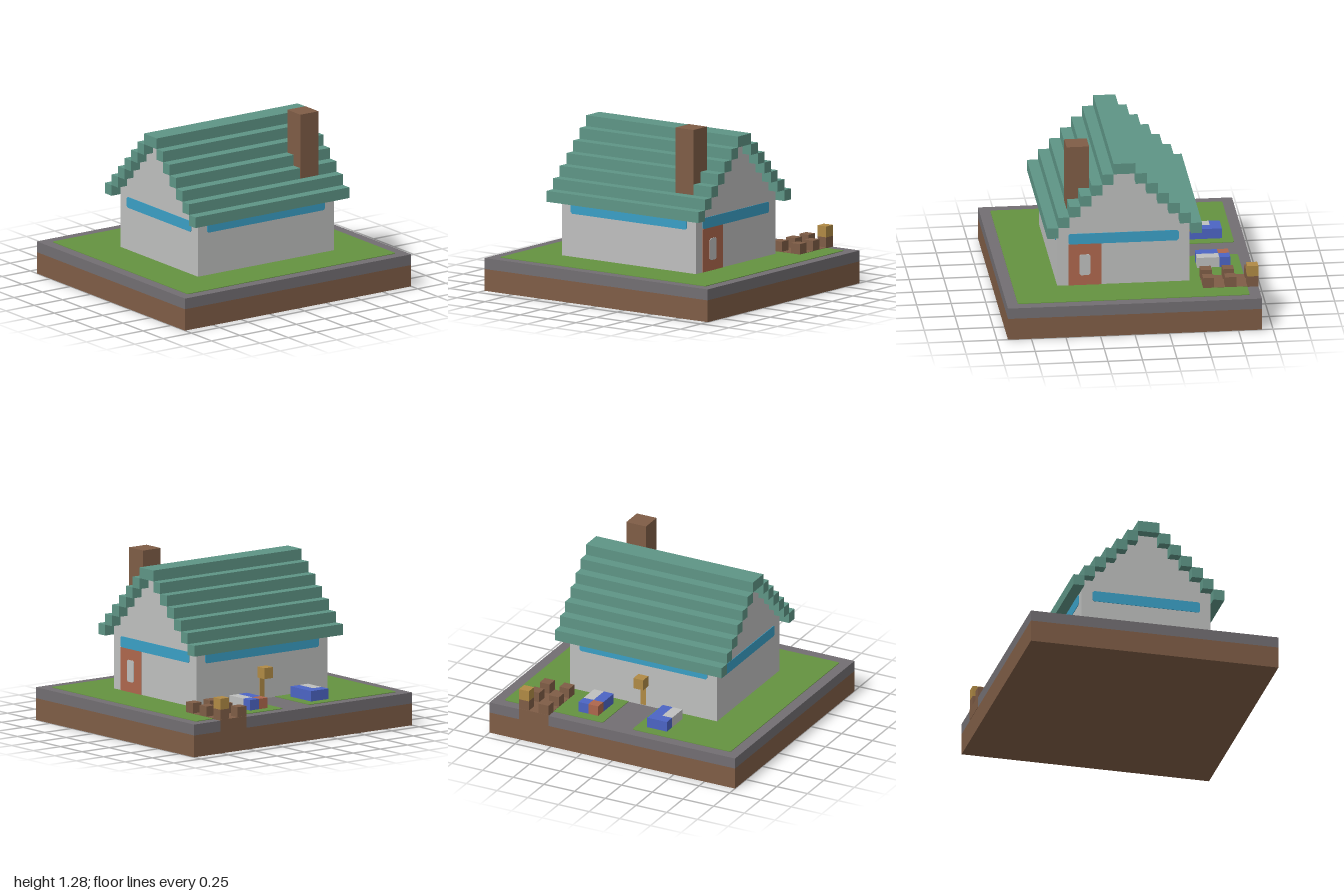
import * as THREE from 'three';

const U = 0.08; // block size
const T = 0.004; // thickness of painted plates

export function createModel() {
  const model = new THREE.Group();
  const material = (name, color) => {
    const m = new THREE.MeshStandardMaterial({ color });
    m.name = name;
    return m;
  };
  const stone = material('stone', 0x726e72);
  const dirt = material('dirt', 0x7f5d46);
  const grass = material('grass', 0x649240);
  const plaster = material('plaster', 0xbebfbe);
  const tile = material('roof tile', 0x5e9586);
  const blue = material('sky blue', 0x3a9fc5);
  const red = material('brick red', 0xae674d);
  const cloth = material('royal blue', 0x4c64c4);
  const ochre = material('ochre', 0xb08a45);

  const add = (name, geometry, mat, parent = model) => {
    const mesh = new THREE.Mesh(geometry, mat);
    mesh.name = name;
    parent.add(mesh);
    return mesh;
  };
  // Box given by its minimum and maximum corners
  const block = (name, mat, x0, x1, y0, y1, z0, z1, parent) => {
    const g = new THREE.BoxGeometry(x1 - x0, y1 - y0, z1 - z0);
    g.translate((x0 + x1) / 2, (y0 + y1) / 2, (z0 + z1) / 2);
    return add(name, g, mat, parent);
  };
  // Thin upright plate with clipped corners, facing +z before turning
  const panel = (name, mat, w, h, x, y, z, turn) => {
    const a = w / 2, b = h / 2, c = 0.012;
    const s = new THREE.Shape([
      [-a + c, -b], [a - c, -b], [a, -b + c], [a, b - c],
      [a - c, b], [-a + c, b], [-a, b - c], [-a, -b + c],
    ].map(([px, py]) => new THREE.Vector2(px, py)));
    const m = add(name, new THREE.ExtrudeGeometry(s, { depth: T, bevelEnabled: false }), mat);
    m.position.set(x, y, z);
    m.rotation.y = turn;
  };

  // Ground slab
  block('groundDirt', dirt, -1, 1, 0, 0.16, -0.92, 0.92);
  block('groundStone', stone, -1, 1, 0.16, 0.24, -0.92, 0.92);

  // Lawn with a notch for the path at the back
  const lawn = new THREE.Shape([
    [-0.91, -0.84], [0.91, -0.84], [0.92, -0.83], [0.92, 0.83], [0.91, 0.84],
    [0.13, 0.84], [0.12, 0.83], [0.12, 0.42], [-0.12, 0.42], [-0.12, 0.83],
    [-0.13, 0.84], [-0.91, 0.84], [-0.92, 0.83], [-0.92, -0.83],
  ].map(([x, y]) => new THREE.Vector2(x, y)));
  const lawnGeo = new THREE.ExtrudeGeometry(lawn, { depth: T, bevelEnabled: false });
  lawnGeo.rotateX(-Math.PI / 2).translate(0, 0.24, 0);
  add('lawn', lawnGeo, grass);

  // Bare plot reaching the back edge
  block('plot', dirt, 0.52, 0.76, 0.2, 0.246, -0.9, -0.52);
  block('plotEdge', dirt, 0.52, 0.76, 0.16, 0.246, -0.92 - T / 2, -0.9);

  // House body with stepped gables
  const pts = [];
  const mid = 0.04;
  for (let i = 0; i < 6; i++) {
    const half = 0.48 - i * U;
    pts.push([half, i ? 0.64 + i * U : 0.24], [half, 0.72 + i * U]);
  }
  const outline = [
    ...pts.map(([h, y]) => new THREE.Vector2(mid + h, y)),
    ...pts.reverse().map(([h, y]) => new THREE.Vector2(mid - h, y)),
  ];
  const body = new THREE.ExtrudeGeometry(new THREE.Shape(outline), { depth: 1.2, bevelEnabled: false });
  body.rotateY(-Math.PI / 2).translate(0.6, 0, 0);
  add('houseBody', body, plaster);

  // Roof steps, both slopes and the ridge
  const roof = new THREE.Group();
  roof.name = 'roof';
  model.add(roof);
  for (let i = 0; i < 6; i++) {
    const y = 0.64 + i * U, h = 0.48 - i * U;
    block('frontRoofStep', tile, -0.68, 0.68, y, y + U, mid + h, mid + h + U, roof);
    block('backRoofStep', tile, -0.68, 0.68, y, y + U, mid - h - U, mid - h, roof);
  }
  block('ridge', tile, -0.68, 0.68, 1.12, 1.2, -0.04, 0.12, roof);

  // Chimney
  block('chimney', dirt, 0.36, 0.52, 0.802, 1.28, 0.28, 0.443);

  // Blue bands around the walls
  panel('frontBand', blue, 1.04, U, 0, 0.6, 0.52, 0);
  panel('backBand', blue, 1.04, U, 0, 0.6, -0.44, Math.PI);
  panel('leftBand', blue, 0.8, U, 0.6, 0.6, mid, Math.PI / 2);
  panel('rightBand', blue, 0.8, U, -0.6, 0.6, mid, -Math.PI / 2);

  // Side door with its window
  block('door', red, 0.6, 0.6 + T, 0.24, 0.56, 0.2, 0.44);
  panel('doorWindow', plaster, U, 0.16, 0.6 + T, 0.4, 0.32, Math.PI / 2);

  // Lamp on a post at the back wall
  block('lampPost', ochre, -0.022, 0.022, 0.245, 0.4, -0.44 - T, -0.44);
  block('lamp', ochre, -0.04, 0.04, 0.4, 0.48, -0.52, -0.44);

  // Two low benches, each a blue side and a pale seat
  for (const [x, endMat] of [[-0.36, cloth], [0.2, red]]) {
    const bench = new THREE.Group();
    bench.name = 'bench';
    model.add(bench);
    const first = endMat === red; // which side carries the coloured end
    const pale = first ? x + U : x, side = first ? x : x + U;
    block('benchSeat', plaster, pale, pale + U, 0.24, 0.32, -0.68, -0.52, bench);
    block('benchEnd', cloth, pale, pale + U, 0.24, 0.32, -0.76, -0.68, bench);
    block('benchSide', cloth, side, side + U, 0.24, 0.32, -0.68, -0.52, bench);
    block('benchCorner', endMat, side, side + U, 0.24, 0.32, -0.76, -0.68, bench);
  }

  // Stumps in the plot, one topped by a lamp
  for (const x of [0.52, 0.68]) {
    for (const z of [-0.92, -0.76, -0.6]) {
      block('stump', dirt, x, x + U, 0.24, 0.32, z, z + U);
    }
  }
  block('stumpLamp', ochre, 0.68, 0.76, 0.32, 0.4, -0.92, -0.84);

  return model;
}
